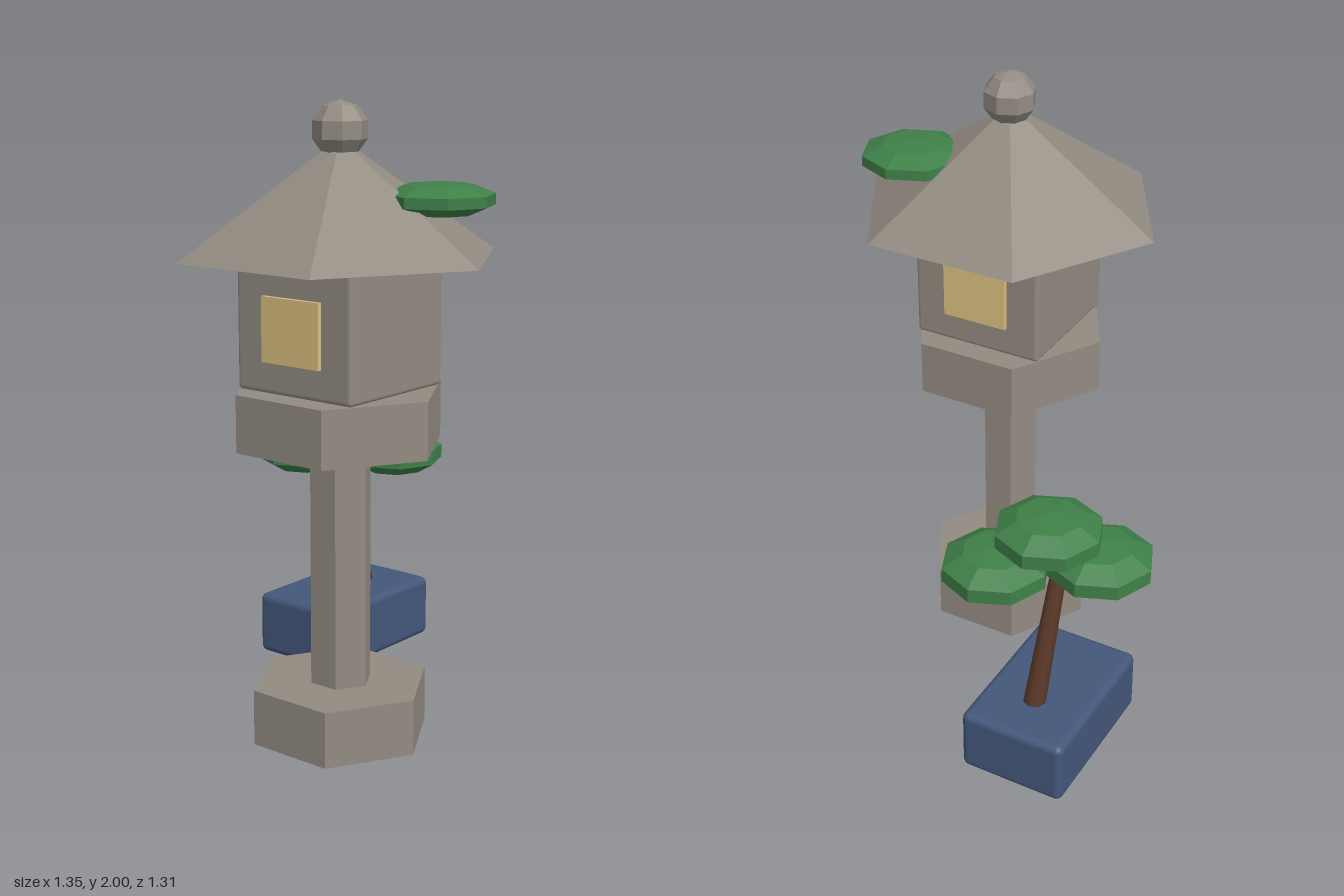
import * as THREE from 'three';
import { RoundedBoxGeometry } from 'three/addons/geometries/RoundedBoxGeometry.js';

const material = (name, color, flatShading = true) =>
  Object.assign(new THREE.MeshStandardMaterial({ color, flatShading }), { name });

export function createModel() {
  const stone = material('stone', 0x928b81);
  const glow = material('windowGlow', 0xdcc080);
  const leaf = material('foliage', 0x3f8048);
  const bark = material('bark', 0x573626, false);
  const glaze = material('potGlaze', 0x43577a, false);

  const model = new THREE.Group();
  model.name = 'gardenLanternAndBonsai';

  const add = (parent, name, geometry, mat, x, y, z) => {
    const mesh = new THREE.Mesh(geometry, mat);
    mesh.name = name;
    mesh.position.set(x, y, z);
    parent.add(mesh);
    return mesh;
  };

  // Stone lantern, centred on its own axis
  const lantern = new THREE.Group();
  lantern.name = 'lantern';
  lantern.position.set(-0.235, 0, 0.143);
  model.add(lantern);

  // Hexagonal stones: name, bottom radius, top radius, bottom y, top y
  [
    ['base', 0.291, 0.291, 0, 0.18],
    ['column', 0.1, 0.1, 0.18, 0.95],
    ['platform', 0.336, 0.336, 0.95, 1.13],
    ['roof', 0.511, 0.06, 1.535, 1.848],
  ].forEach(([name, rBottom, rTop, y0, y1]) => {
    add(lantern, name, new THREE.CylinderGeometry(rTop, rBottom, y1 - y0, 6), stone, 0, (y0 + y1) / 2, 0);
  });

  // Light chamber with a window on each side
  add(lantern, 'lightChamber', new RoundedBoxGeometry(0.444, 0.4, 0.444, 2, 0.012), stone, 0, 1.332, 0);
  for (const side of [1, -1]) {
    add(lantern, side > 0 ? 'leftWindow' : 'rightWindow',
      new THREE.BoxGeometry(0.022, 0.2, 0.222), glow, side * 0.225, 1.33, 0);
  }
  add(lantern, 'finial', new THREE.SphereGeometry(0.088, 8, 5), stone, 0, 1.912, 0);

  // Flattened foliage cushions
  const pad = (parent, name, x, y, z, squash) =>
    add(parent, name, new THREE.SphereGeometry(0.179, 8, 5).scale(1, squash, 1), leaf, x, y, z);
  pad(model, 'roofMoss', -0.102, 1.712, 0.413, 0.3);

  // Potted tree
  const bonsai = new THREE.Group();
  bonsai.name = 'bonsai';
  model.add(bonsai);
  add(bonsai, 'pot', new RoundedBoxGeometry(0.535, 0.218, 0.358, 3, 0.025), glaze, 0.393, 0.117, -0.355);

  // Leaning, tapered trunk
  const foot = new THREE.Vector3(0.505, 0.17, -0.35);
  const tip = new THREE.Vector3(0.307, 0.71, -0.35);
  const middle = foot.clone().lerp(tip, 0.5);
  const trunk = add(bonsai, 'trunk', new THREE.CylinderGeometry(0.026, 0.04, foot.distanceTo(tip), 8), bark, ...middle);
  trunk.quaternion.setFromUnitVectors(new THREE.Vector3(0, 1, 0), tip.clone().sub(foot).normalize());

  pad(bonsai, 'crownPad', 0.415, 0.84, -0.355, 0.42);
  pad(bonsai, 'backPad', 0.328, 0.725, -0.488, 0.42);
  pad(bonsai, 'frontPad', 0.505, 0.725, -0.22, 0.42);

  return model;
}
